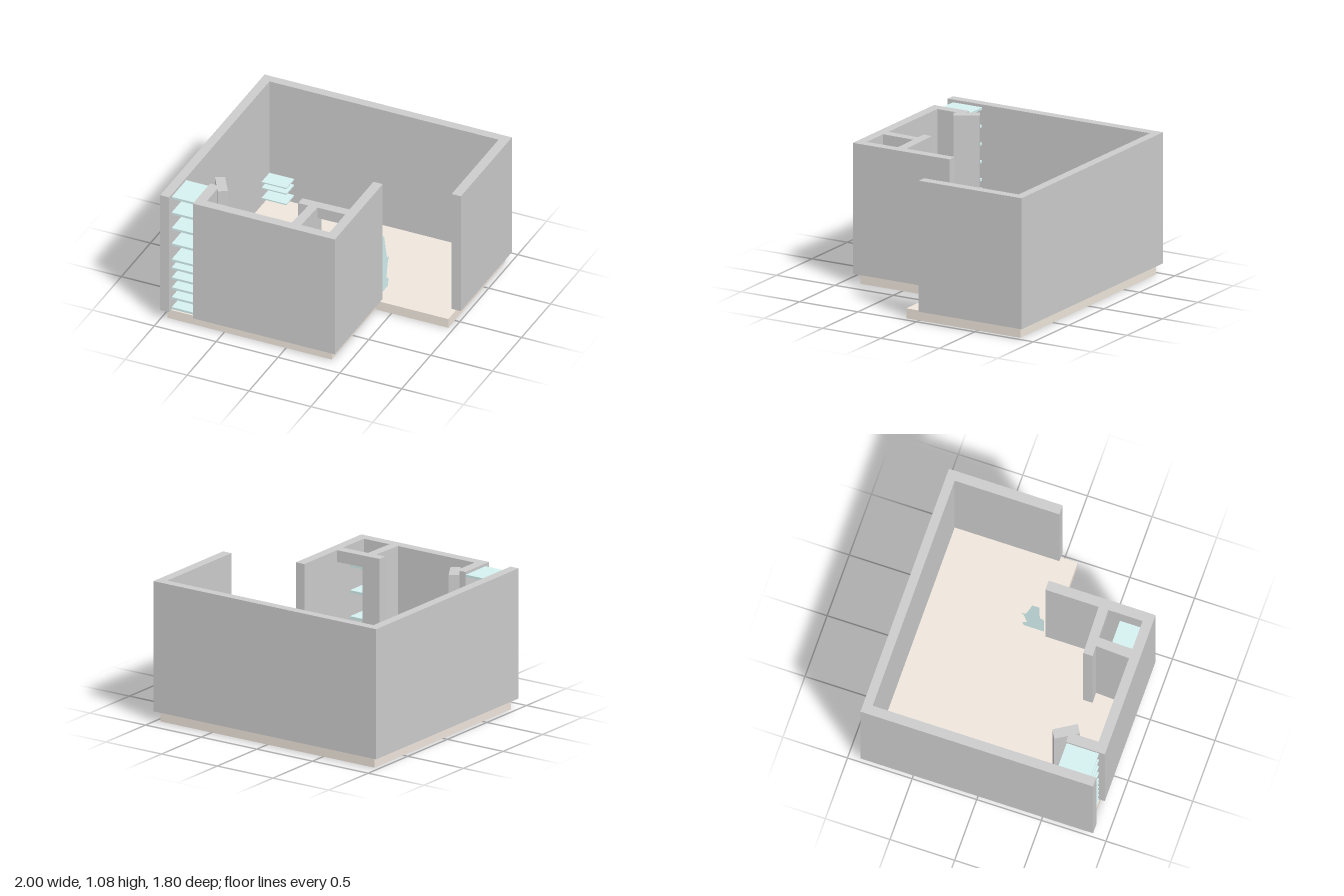
import * as THREE from 'three';

const wallMat = new THREE.MeshStandardMaterial({ color: 0xcccccc });
const floorMat = new THREE.MeshStandardMaterial({ color: 0xefe6dc });
const shelfMat = new THREE.MeshStandardMaterial({ color: 0xd5f0f0 });
const panelMat = new THREE.MeshStandardMaterial({ color: 0xd5f0f0, side: THREE.DoubleSide });

const FLOOR = 0.08, TOP = 1.08;

export function createModel() {
  const model = new THREE.Group();
  model.name = 'roomLayout';

  // Upright prism from a plan outline of [x, z] corners
  function prism(name, outline, y0, y1, mat) {
    const shape = new THREE.Shape(outline.map(([x, z]) => new THREE.Vector2(x, -z)));
    const geo = new THREE.ExtrudeGeometry(shape, { depth: y1 - y0, bevelEnabled: false });
    geo.rotateX(-Math.PI / 2).translate(0, y0, 0);
    const mesh = new THREE.Mesh(geo, mat);
    mesh.name = name;
    model.add(mesh);
  }

  // Stack of equal shelves centred at the given heights
  function shelves(name, x0, x1, z0, z1, heights, thickness) {
    const group = new THREE.Group();
    group.name = name;
    const geo = new THREE.BoxGeometry(x1 - x0, thickness, z1 - z0);
    for (const y of heights) {
      const mesh = new THREE.Mesh(geo, shelfMat);
      mesh.name = 'shelf';
      mesh.position.set((x0 + x1) / 2, y, (z0 + z1) / 2);
      group.add(mesh);
    }
    model.add(group);
  }

  // L-shaped floor slab
  prism('floor', [[-0.96, -0.865], [0.96, -0.865], [0.96, 0.11], [0.37, 0.11],
    [0.37, 0.86], [-0.96, 0.86]], 0, 0.076, floorMat);

  // Outer walls: right, back and left in one run
  prism('outerWalls', [[-1, 0.9], [-1, -0.9], [1, -0.9], [1, -0.02], [0.925, -0.02],
    [0.925, -0.83], [-0.927, -0.83], [-0.927, 0.9]], FLOOR, TOP, wallMat);

  // Front wall with its two returns
  prism('frontWalls', [[-0.735, 0.9], [-0.735, 0.6], [-0.657, 0.6], [-0.657, 0.825],
    [0.337, 0.825], [0.337, 0.073], [0.412, 0.073], [0.412, 0.9]], FLOOR, TOP, wallMat);

  // Slanted wall end beside the shelf opening
  prism('slantedWall', [[-0.74, 0.51], [-0.675, 0.473], [-0.575, 0.637], [-0.64, 0.675]],
    FLOOR, TOP, wallMat);

  // Closet: side wall, end piece and lintel over the doorway
  prism('closetSideWall', [[0.042, 0.566], [0.113, 0.564], [0.107, 0.826], [0.03, 0.826]],
    FLOOR, TOP, wallMat);
  prism('closetEndWall', [[-0.04, 0.495], [0.113, 0.491], [0.113, 0.564], [-0.04, 0.568]],
    FLOOR, TOP, wallMat);
  prism('closetLintel', [[0.113, 0.491], [0.338, 0.485], [0.338, 0.56], [0.113, 0.564]],
    0.99, TOP, wallMat);
  shelves('closetShelves', 0.108, 0.337, 0.65, 0.825, [0.12, 0.32, 0.52, 0.72, 0.92], 0.02);

  // Tall shelf rack closing the front left opening
  shelves('frontShelves', -0.928, -0.734, 0.605, 0.855,
    [0.09, 0.178, 0.263, 0.35, 0.437, 0.508, 0.645, 0.78, 0.915, 1.05], 0.018);

  // Low shelves in the back corner and behind the front wall
  shelves('cornerShelves', -0.928, -0.727, -0.83, -0.695, [0.14, 0.23, 0.28], 0.01);
  shelves('nicheShelf', -0.656, -0.535, 0.66, 0.8, [0.3], 0.015);

  // Thin standing silhouette in the entrance, outlined as [z, y]
  const outline = [[0.052, 0.08], [0.053, 0.31], [0.04, 0.33], [0.022, 0.335], [0.015, 0.42],
    [0.015, 0.56], [-0.04, 0.555], [-0.06, 0.46], [-0.09, 0.335], [-0.125, 0.325],
    [-0.105, 0.29], [-0.08, 0.165], [-0.117, 0.14], [-0.105, 0.08]];
  const geo = new THREE.ShapeGeometry(
    new THREE.Shape(outline.map(([z, y]) => new THREE.Vector2(-z, y))));
  geo.rotateY(Math.PI / 2);
  const panel = new THREE.Mesh(geo, panelMat);
  panel.name = 'standingCutout';
  panel.position.x = 0.37;
  model.add(panel);

  return model;
}
